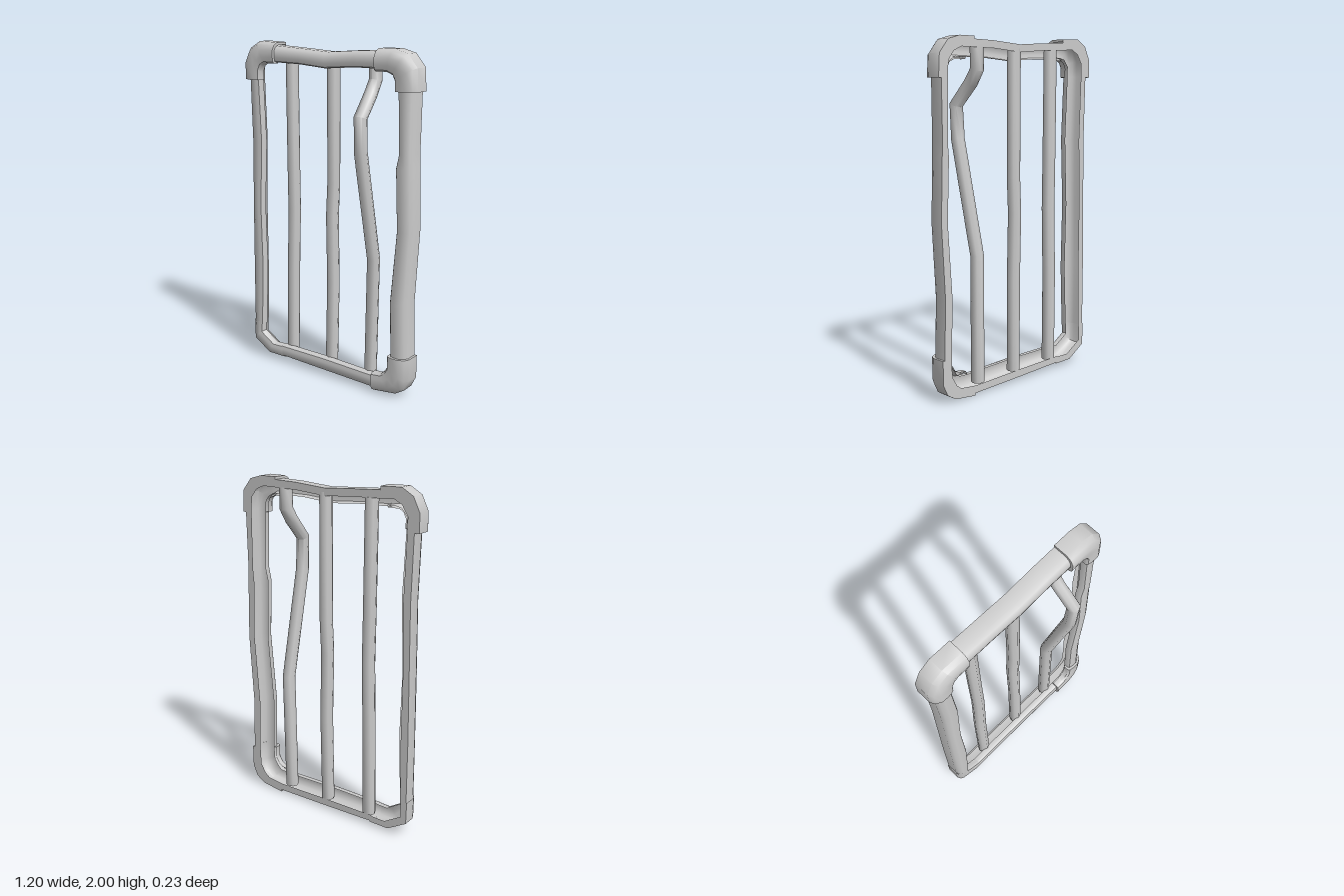
import * as THREE from 'three';
import { toCreasedNormals } from 'three/addons/utils/BufferGeometryUtils.js';

const material = new THREE.MeshStandardMaterial({ color: 0xcccccc, side: THREE.DoubleSide });

// Rail section: u runs from the outer (1) to the inner (-1) edge, t from back to front.
// A narrow back flange, a deep outer wall, a rounded front and a shallow inner wall.
const section = [
  [0.05, 0], [1, 0], [1, 0.65], [0.75, 0.87], [0.25, 1],
  [-0.4, 1], [-0.85, 0.96], [-1, 0.86], [-1, 0.6],
];

function creasedMesh(name, positions, index, crease) {
  const geometry = new THREE.BufferGeometry();
  geometry.setAttribute('position', new THREE.Float32BufferAttribute(positions, 3));
  geometry.setIndex(index);
  const mesh = new THREE.Mesh(toCreasedNormals(geometry, crease), material);
  mesh.name = name;
  return mesh;
}

// Lofts the section along stations [outerX, outerY, innerX, innerY, front]
function rail(name, stations, front, back) {
  const positions = [], index = [], n = section.length;
  for (const [ox, oy, ix, iy, f = front] of stations) {
    for (const [u, t] of section) {
      const k = (1 - u) / 2;
      positions.push(ox + (ix - ox) * k, oy + (iy - oy) * k, back + (f - back) * t);
    }
  }
  for (let i = 0; i < stations.length - 1; i++) {
    for (let j = 0; j < n - 1; j++) {
      const a = i * n + j, b = a + n;
      index.push(a, a + 1, b, b, a + 1, b + 1);
    }
  }
  return creasedMesh(name, positions, index, 0.7);
}

// Corner sleeve: a wider rail with a lip turned in at both ends
function sleeve(name, stations) {
  const front = 0.017, inset = 0.015;
  const lip = ([ox, oy, ix, iy]) => {
    const k = inset / Math.hypot(ix - ox, iy - oy);
    const dx = (ix - ox) * k, dy = (iy - oy) * k;
    return [ox + dx, oy + dy, ix - dx, iy - dy, front - inset];
  };
  return rail(name, [lip(stations[0]), ...stations, lip(stations.at(-1))], front, -0.112);
}

// Round bar following a bent centre line, with capped ends
function bar(name, points, radius = 0.038, sides = 8) {
  const positions = [], index = [], last = points.length - 1;
  for (let i = 0; i <= last; i++) {
    const [x, y, z] = points[i];
    const p = points[Math.max(i - 1, 0)], q = points[Math.min(i + 1, last)];
    const lean = i === 0 || i === last ? 0 : Math.atan2(q[2] - p[2], q[1] - p[1]);
    for (let j = 0; j < sides; j++) {
      const a = (j / sides) * Math.PI * 2;
      const d = Math.cos(a) * radius;
      positions.push(x + Math.sin(a) * radius, y - d * Math.sin(lean), z + d * Math.cos(lean));
    }
  }
  for (let i = 0; i < last; i++) {
    for (let j = 0; j < sides; j++) {
      const a = i * sides + j, b = i * sides + ((j + 1) % sides);
      index.push(a, b, a + sides, b, b + sides, a + sides);
    }
  }
  const top = last * sides;
  for (let j = 1; j < sides - 1; j++) {
    index.push(0, j + 1, j, top, top + j, top + j + 1);
  }
  return creasedMesh(name, positions, index, 0.9);
}

export function createModel() {
  const group = new THREE.Group();
  group.name = 'barredWindow';

  // Wavy frame, from the lower right corner up, over and back along the bottom
  group.add(rail('frame', [
    [-0.57, 0.22, -0.488, 0.22], [-0.57, 0.6, -0.472, 0.6], [-0.565, 1.0, -0.482, 1.0],
    [-0.56, 1.4, -0.465, 1.4], [-0.57, 1.78, -0.482, 1.78], [-0.57, 1.87, -0.482, 1.84],
    [-0.53, 1.94, -0.45, 1.88], [-0.47, 1.98, -0.41, 1.89], [-0.36, 1.975, -0.36, 1.882],
    [-0.18, 1.965, -0.18, 1.878], [0, 1.953, 0, 1.863], [0.2, 1.967, 0.2, 1.878],
    [0.35, 1.97, 0.35, 1.878], [0.45, 1.97, 0.42, 1.88], [0.52, 1.945, 0.455, 1.86],
    [0.57, 1.88, 0.48, 1.83], [0.577, 1.77, 0.485, 1.77], [0.573, 1.43, 0.498, 1.43],
    [0.577, 1.35, 0.48, 1.35], [0.587, 1.0, 0.495, 1.0], [0.564, 0.58, 0.46, 0.58],
    [0.575, 0.25, 0.47, 0.25], [0.572, 0.13, 0.465, 0.17], [0.54, 0.065, 0.43, 0.125],
    [0.49, 0.03, 0.41, 0.11], [0.35, 0.015, 0.35, 0.107], [0, 0.023, 0, 0.117],
    [-0.335, 0.033, -0.335, 0.115],
  ], 0, -0.11));

  // Bare lower right corner
  group.add(rail('bareCorner', [
    [-0.575, 0.235, -0.492, 0.235], [-0.572, 0.1, -0.495, 0.17],
    [-0.45, 0.027, -0.4, 0.11], [-0.325, 0.027, -0.325, 0.113],
  ], 0.001, -0.111));

  // Corner sleeves
  group.add(sleeve('upperRightSleeve', [
    [-0.6, 1.775, -0.47, 1.775], [-0.6, 1.88, -0.47, 1.83], [-0.56, 1.96, -0.455, 1.86],
    [-0.49, 2.0, -0.43, 1.875], [-0.36, 1.995, -0.36, 1.875],
  ]));
  group.add(sleeve('upperLeftSleeve', [
    [0.345, 1.985, 0.345, 1.865], [0.45, 1.985, 0.42, 1.865], [0.53, 1.963, 0.455, 1.85],
    [0.59, 1.89, 0.47, 1.82], [0.597, 1.765, 0.47, 1.765],
  ]));
  group.add(sleeve('lowerLeftSleeve', [
    [0.588, 0.255, 0.457, 0.255], [0.588, 0.12, 0.457, 0.18], [0.557, 0.055, 0.435, 0.147],
    [0.5, 0.02, 0.41, 0.13], [0.355, 0.002, 0.355, 0.125],
  ]));

  // Upright bars; the left one is bent outwards
  const z = -0.077, foot = -0.071;
  group.add(bar('rightBar', [
    [-0.292, 0.06, foot], [-0.288, 0.6, z], [-0.278, 1.0, z], [-0.282, 1.3, z], [-0.287, 1.93, z],
  ]));
  group.add(bar('middleBar', [
    [0.012, 0.06, foot], [0.017, 0.6, z], [0.008, 1.0, z], [0.017, 1.2, z], [0.014, 1.93, z],
  ]));
  group.add(bar('bentBar', [
    [0.298, 0.06, foot], [0.303, 0.79, z], [0.307, 1.43, 0.071], [0.309, 1.62, 0.081],
    [0.3, 1.74, -0.03], [0.298, 1.81, z], [0.298, 1.93, z],
  ]));
  return group;
}
